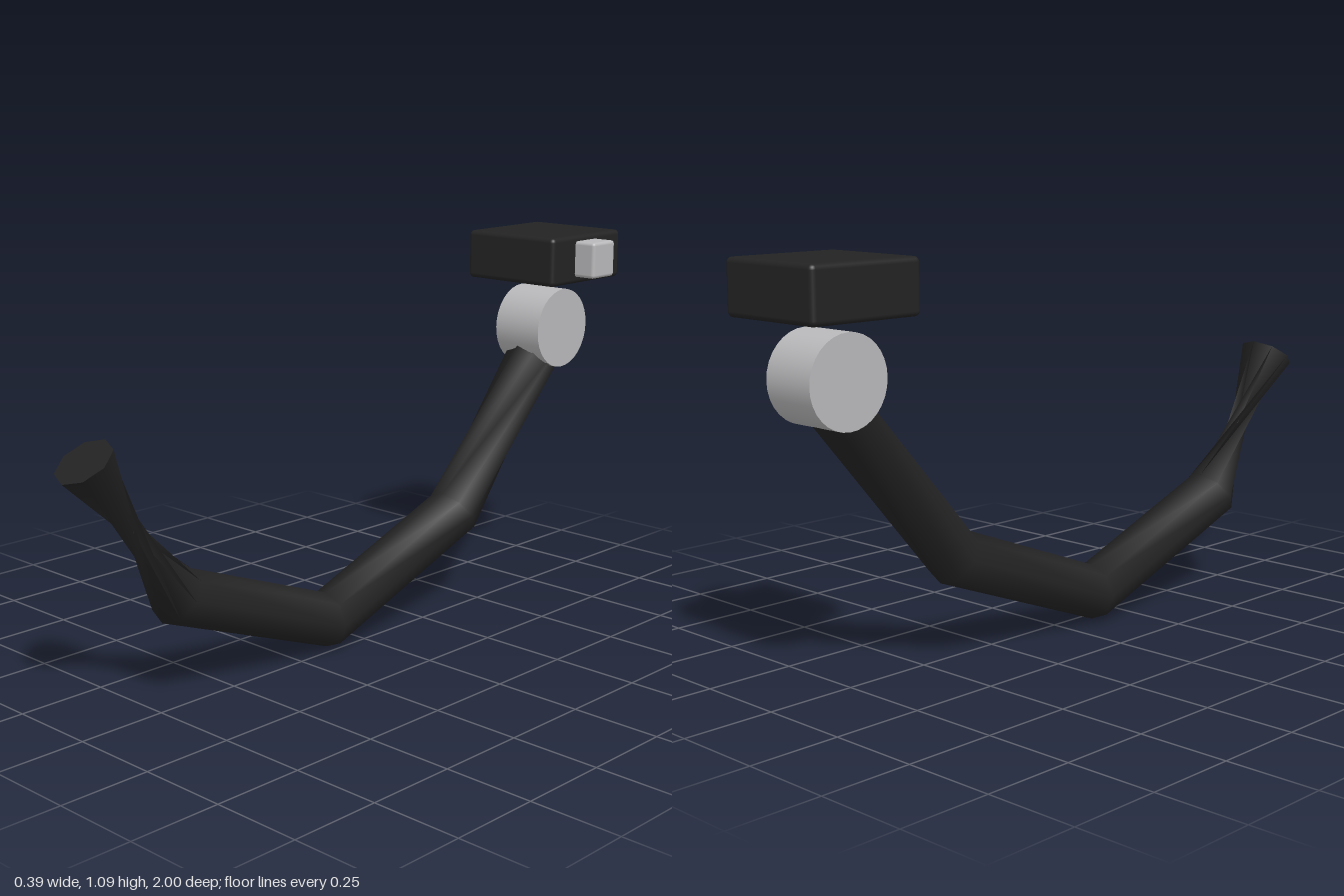
import * as THREE from 'three';
import { RoundedBoxGeometry } from 'three/addons/geometries/RoundedBoxGeometry.js';

const SIDES = 8, RADIUS = 0.08, CX = -0.035;

// Rings along the bent arm: centre (y, z), travel direction (y, z),
// and how many vertices the skin twists on the way to the next ring.
const RINGS = [
  { y: 0.693, z: 0.935, ty: -0.84, tz: -0.55, twist: 3 },
  { y: 0.288, z: 0.66, ty: -0.62, tz: -0.78, twist: 0 },
  { y: 0.083, z: 0.12, ty: 0, tz: -1, twist: 0 },
  { y: 0.288, z: -0.42, ty: 0.62, tz: -0.78, twist: 1 },
  { y: 0.76, z: -0.83, ty: 0.75, tz: -0.66, twist: 0 },
];

function armGeometry() {
  const pos = [], index = [];
  const addRing = ({ y, z, ty, tz }) => {
    const start = pos.length / 3;
    for (let i = 0; i < SIDES; i++) {
      const a = (i / SIDES) * Math.PI * 2;
      const c = Math.cos(a) * RADIUS, s = Math.sin(a) * RADIUS;
      pos.push(CX + c, y + s * tz, z - s * ty);
    }
    return start;
  };
  const starts = RINGS.map(addRing);

  // Skin between neighbouring rings
  for (let r = 0; r < RINGS.length - 1; r++) {
    const s = RINGS[r].twist;
    for (let i = 0; i < SIDES; i++) {
      const a0 = starts[r] + i, a1 = starts[r] + (i + 1) % SIDES;
      const b0 = starts[r + 1] + (i + s) % SIDES;
      const b1 = starts[r + 1] + (i + s + 1) % SIDES;
      index.push(a0, a1, b1, a0, b1, b0);
    }
  }

  // Flat end caps with their own vertices
  const first = addRing(RINGS[0]), last = addRing(RINGS[RINGS.length - 1]);
  for (let i = 1; i < SIDES - 1; i++) {
    index.push(first, first + i + 1, first + i, last, last + i, last + i + 1);
  }
  const g = new THREE.BufferGeometry();
  g.setAttribute('position', new THREE.Float32BufferAttribute(pos, 3));
  g.setIndex(index);
  g.computeVertexNormals();
  return g;
}

export function createModel() {
  const black = new THREE.MeshStandardMaterial({ color: 0x232323, side: THREE.DoubleSide });
  black.name = 'matte black';
  const grey = new THREE.MeshStandardMaterial({ color: 0xb8b8ba });
  grey.name = 'light grey';

  const model = new THREE.Group();
  model.name = 'bentArmWithHead';
  const add = (name, geometry, material, x, y, z) => {
    const mesh = new THREE.Mesh(geometry, material);
    mesh.name = name;
    mesh.position.set(x, y, z);
    model.add(mesh);
    return mesh;
  };

  add('bentArm', armGeometry(), black, 0, 0, 0);

  // Pivot drum lying across the top of the arm
  add('pivotDrum', new THREE.CylinderGeometry(0.12, 0.12, 0.162, 32), grey, CX, 0.803, -0.829)
    .rotation.z = Math.PI / 2;

  // Head block and the small knob on its left side
  add('headBlock', new RoundedBoxGeometry(0.325, 0.144, 0.333, 3, 0.014), black, -0.0345, 1.025, -0.8335);
  add('sideKnob', new RoundedBoxGeometry(0.1, 0.107, 0.105, 3, 0.01), grey, 0.146, 1.027, -0.828);

  return model;
}
